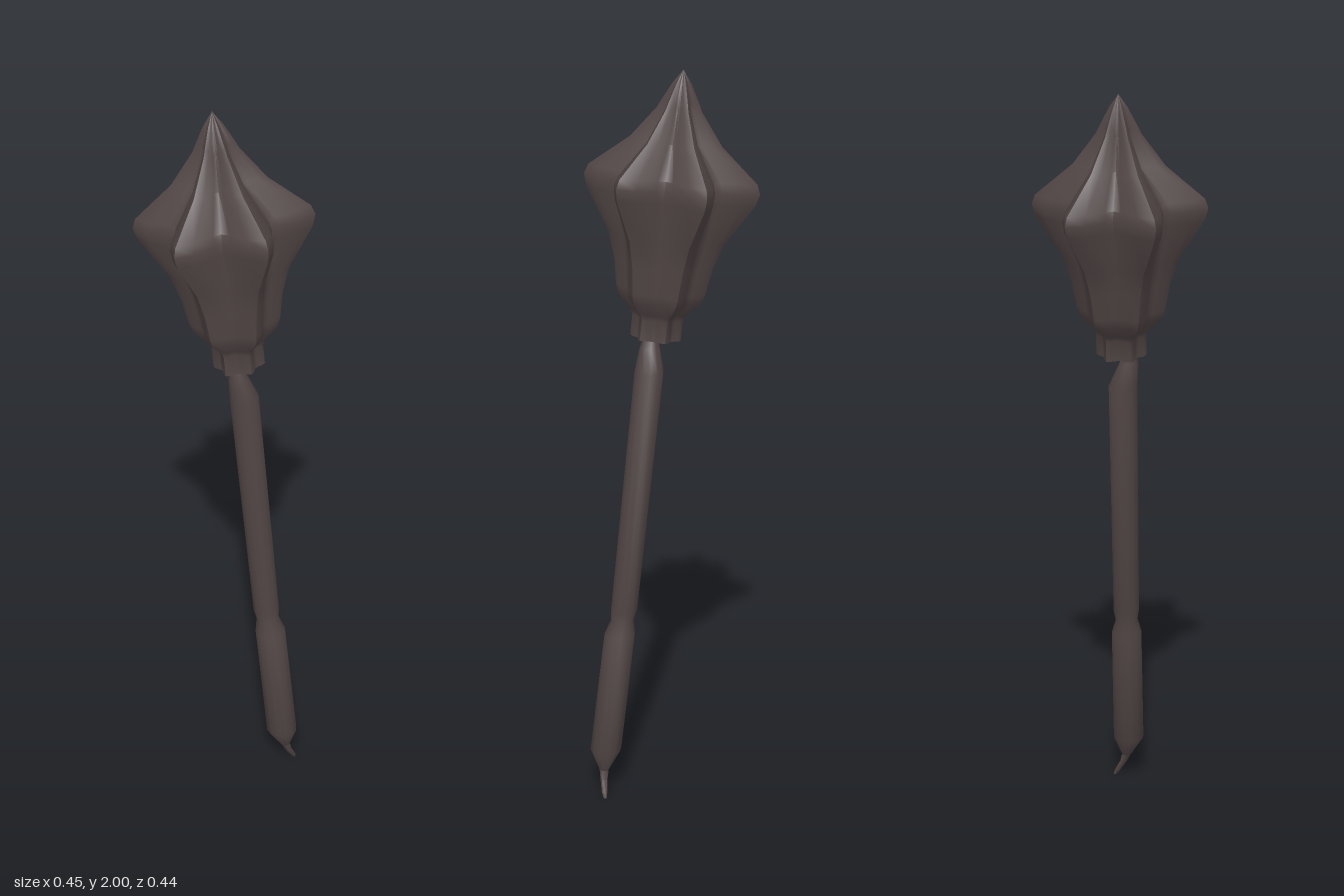
import * as THREE from 'three';
import { toCreasedNormals } from 'three/addons/utils/BufferGeometryUtils.js';

// Skin a stack of closed rings, listed from top to bottom; a ring may shrink to a point.
function loft(rings, crease) {
  const pos = [];
  const tri = (a, b, c) => {
    const area = b.clone().sub(a).cross(c.clone().sub(a)).length();
    if (area > 1e-10) pos.push(...a.toArray(), ...b.toArray(), ...c.toArray());
  };
  for (let i = 0; i < rings.length - 1; i++) {
    const top = rings[i], low = rings[i + 1], n = top.length;
    for (let j = 0; j < n; j++) {
      const k = (j + 1) % n;
      tri(top[j], top[k], low[j]);
      tri(top[k], low[k], low[j]);
    }
  }
  const g = new THREE.BufferGeometry();
  g.setAttribute('position', new THREE.Float32BufferAttribute(pos, 3));
  return toCreasedNormals(g, crease);
}

// Six-flanged star: each flange has a tip, two shoulders and two flanks, with valleys between.
function starRing(h, tip, valley) {
  const mix = [[-30, 0], [-22, 0.12], [-10, 0.65], [0, 1], [10, 0.65], [22, 0.12]];
  const ring = [];
  for (let f = 0; f < 6; f++) {
    for (const [deg, t] of mix) {
      const a = THREE.MathUtils.degToRad(15 + f * 60 + deg);
      const r = valley + (tip - valley) * t;
      ring.push(new THREE.Vector3(Math.cos(a) * r, h, Math.sin(a) * r));
    }
  }
  return ring;
}

function roundRing(y, x, z, r, sides = 12) {
  return Array.from({ length: sides }, (_, j) => {
    const a = (j / sides) * Math.PI * 2;
    return new THREE.Vector3(x + Math.cos(a) * r, y, z + Math.sin(a) * r);
  });
}

export function createModel() {
  const group = new THREE.Group();
  const darkIron = new THREE.MeshStandardMaterial({ color: 0x514545 });
  darkIron.name = 'darkIron';

  // Flanged head: height along its axis, tip radius, valley radius
  const headRows = [
    [0.704, 0, 0], [0.67, 0.024, 0.016], [0.62, 0.05, 0.033], [0.603, 0.058, 0.036],
    [0.52, 0.12, 0.07], [0.435, 0.221, 0.132], [0.41, 0.23, 0.14], [0.38, 0.222, 0.138],
    [0.27, 0.153, 0.112], [0.2, 0.13, 0.1], [0.13, 0.118, 0.09], [0.105, 0.11, 0.085],
    [0.07, 0.075, 0.058], [0.055, 0.067, 0.05], [0, 0.067, 0.05], [0, 0, 0],
  ];
  const head = new THREE.Mesh(loft(headRows.map((r) => starRing(...r)), 0.75), darkIron);
  head.name = 'flangedHead';
  head.position.set(0.037, 1.3, -0.012);
  head.quaternion.setFromUnitVectors(
    new THREE.Vector3(0, 1, 0),
    new THREE.Vector3(-0.077, 0.7, 0.022).normalize(),
  );
  group.add(head);

  // Leaning handle with a slanted top, a pinched collar and a thicker grip: y, x, z, radius
  const handleRows = [
    [1.31, 0.045, 0.01, 0], [1.305, 0.046, 0.01, 0.016], [1.27, 0.05, 0.003, 0.027],
    [1.21, 0.054, -0.014, 0.039], [0.54, 0.127, -0.033, 0.036], [0.51, 0.132, -0.034, 0.031],
    [0.47, 0.14, -0.037, 0.042], [0.13, 0.182, -0.047, 0.043], [0.07, 0.188, -0.056, 0.013],
  ];
  const handle = new THREE.Mesh(loft(handleRows.map((r) => roundRing(...r)), 0.75), darkIron);
  handle.name = 'handle';
  group.add(handle);

  // Small hooked spur at the butt
  const spurRows = [
    [0.08, 0.188, -0.053, 0.014], [0.045, 0.19, -0.066, 0.01],
    [0.015, 0.191, -0.084, 0.008], [0, 0.19, -0.092, 0.005], [0, 0.19, -0.092, 0],
  ];
  const spur = new THREE.Mesh(loft(spurRows.map((r) => roundRing(...r, 8)), 0.75), darkIron);
  spur.name = 'buttSpur';
  group.add(spur);

  return group;
}
